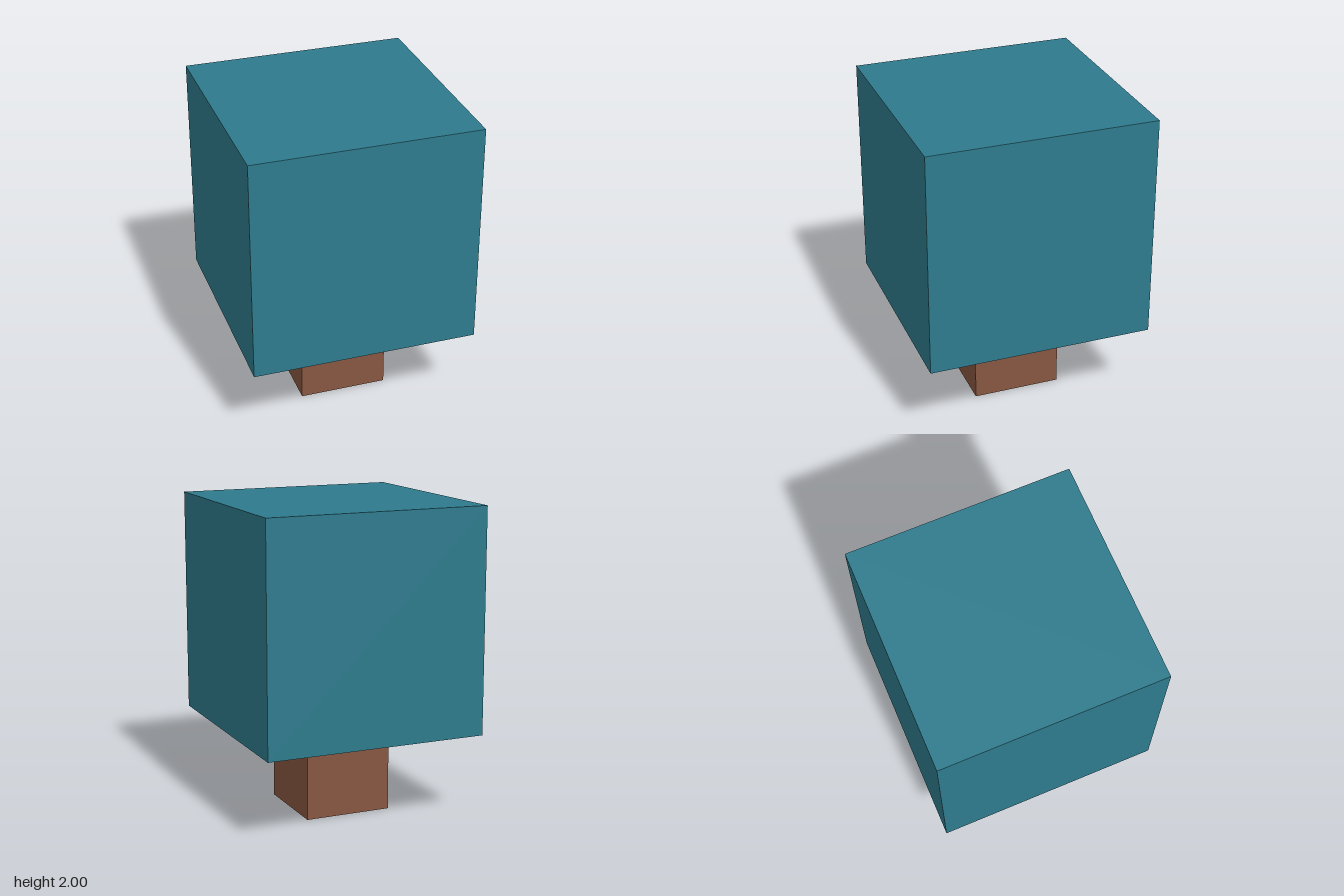
import * as THREE from 'three';

export function createModel() {
  const group = new THREE.Group();
  group.name = 'blockTree';

  const leafTeal = new THREE.MeshStandardMaterial({ color: 0x2e7b8d });
  leafTeal.name = 'leafTeal';
  const barkBrown = new THREE.MeshStandardMaterial({
    color: 0x875741, flatShading: true, side: THREE.DoubleSide,
  });
  barkBrown.name = 'barkBrown';

  const crownSize = 1.445;
  const trunkHeight = 2 - crownSize;
  const trunkHalf = 0.284;

  // Cubic crown of leaves
  const crown = new THREE.Mesh(new THREE.BoxGeometry(crownSize, crownSize, crownSize), leafTeal);
  crown.name = 'crown';
  crown.position.y = trunkHeight + crownSize / 2;
  group.add(crown);

  // Square hollow trunk, open at the bottom
  const radius = trunkHalf * Math.SQRT2;
  const trunk = new THREE.Mesh(
    new THREE.CylinderGeometry(radius, radius, trunkHeight, 4, 1, true, Math.PI / 4),
    barkBrown,
  );
  trunk.name = 'trunk';
  trunk.position.y = trunkHeight / 2;
  group.add(trunk);

  return group;
}
